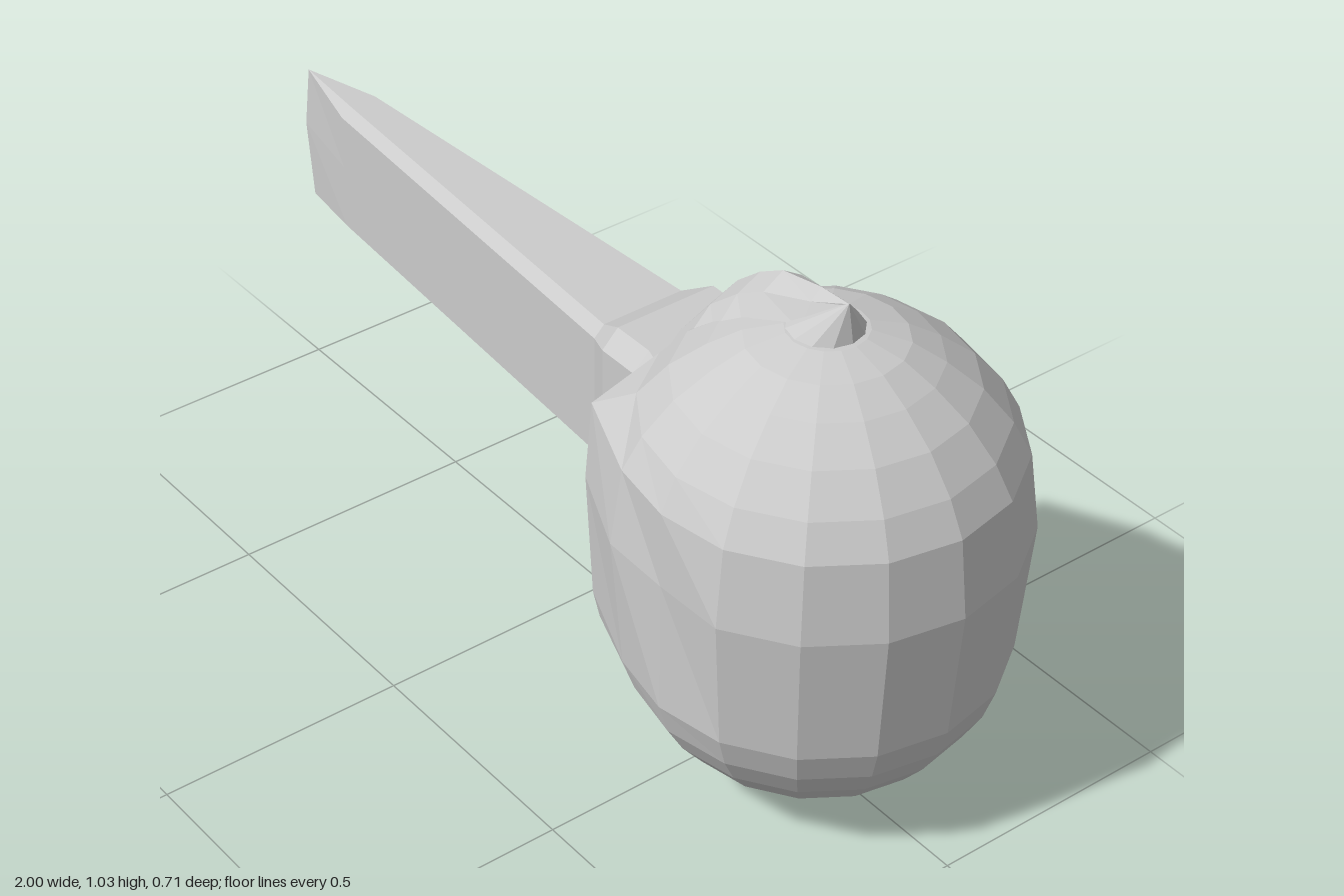
import * as THREE from 'three';

const material = new THREE.MeshStandardMaterial({ color: 0xcccccc, flatShading: true, side: THREE.DoubleSide });

function part(name, geometry) {
  const mesh = new THREE.Mesh(geometry, material);
  mesh.name = name;
  return mesh;
}

// Skin a row of cross-sections (arrays of [x, y, z]) running towards +x.
function loft(sections) {
  const n = sections[0].length;
  const index = [];
  for (let i = 0; i < sections.length - 1; i++) {
    for (let j = 0; j < n; j++) {
      const a = i * n + j, c = i * n + (j + 1) % n;
      index.push(a, a + n, c, a + n, c + n, c);
    }
  }
  const geometry = new THREE.BufferGeometry();
  geometry.setAttribute('position', new THREE.Float32BufferAttribute(sections.flat(2), 3));
  geometry.setIndex(index);
  geometry.computeVertexNormals();
  return geometry;
}

// Faceted egg-shaped head, slightly flattened at the sides and squared off towards the handle.
function makeHead() {
  const profile = [
    [0, 0.005], [0.075, 0.022], [0.145, 0.045], [0.2, 0.08], [0.255, 0.12], [0.3, 0.175],
    [0.335, 0.235], [0.357, 0.3], [0.38, 0.57], [0.36, 0.725], [0.325, 0.79],
    [0.27, 0.855], [0.205, 0.905], [0.145, 0.94], [0.075, 0.96], [0, 0.965],
  ].map(([r, y]) => new THREE.Vector2(r, y));
  const geometry = new THREE.LatheGeometry(profile, 16);
  const p = geometry.attributes.position;
  for (let i = 0; i < p.count; i++) {
    let x = p.getX(i);
    const y = p.getY(i);
    const z = THREE.MathUtils.clamp(p.getZ(i), -0.355, 0.355);
    if (x < -0.2 && Math.abs(z) > 0.2 && y > 0.2 && y < 0.75) x = -0.325;
    p.setXYZ(i, Math.max(x, -0.34), y, z);
  }
  geometry.computeVertexNormals();
  const mesh = part('head', geometry);
  mesh.position.x = 0.62;
  return mesh;
}

// Eight-sided handle section: front half-width, back edge, bulge of the back, top, bottom, chamfer.
function handleSection(x, front, back, bulge, top, bottom, chamfer) {
  const f = Math.max(front - chamfer, 0);
  return [
    [x, top - chamfer, front], [x, top, f], [x, top, -back], [x, 0.57, -bulge],
    [x, bottom, -back], [x, bottom, f], [x, bottom + chamfer, front], [x, 0.57, front],
  ];
}

// Blade-like handle ending in an upright edge, flaring into a collar at the head.
function makeHandle() {
  const end = handleSection(-1, 0, 0, 0, 0.705, 0.41, 0)
    .map(([, y]) => [y === 0.57 ? -1 : -0.98, y, 0]);
  return part('handle', loft([
    end,
    handleSection(-0.81, 0.035, 0.045, 0.11, 0.707, 0.412, 0.02),
    handleSection(0.1, 0.1, 0.1, 0.108, 0.71, 0.412, 0.022),
  ]));
}

function makeCollar() {
  return part('collar', loft([
    handleSection(0.1, 0.1, 0.1, 0.108, 0.71, 0.412, 0.022),
    handleSection(0.18, 0.143, 0.11, 0.143, 0.76, 0.36, 0.035),
    handleSection(0.27, 0.143, 0.11, 0.143, 0.76, 0.36, 0.035),
    handleSection(0.4, 0.2, 0.2, 0.2, 0.76, 0.3, 0.05),
  ]));
}

// Crest curving from the collar over the head to the tip: x, height, half-width, base height.
function makeCrest() {
  const rows = [
    [0.27, 0.75, 0.14, 0.67], [0.31, 0.84, 0.14, 0.74], [0.38, 0.925, 0.12, 0.84],
    [0.44, 0.975, 0.1, 0.89], [0.5, 1.01, 0.085, 0.92], [0.6, 1.03, 0.045, 0.96], [0.672, 1.035, 0, 1.03],
  ];
  return part('crest', loft(rows.map(([x, y, w, base]) => [
    [x, base, w], [x, y - (y - base) * 0.3, w * 0.5], [x, y, 0],
    [x, y - (y - base) * 0.3, -w * 0.5], [x, base, -w],
  ])));
}

// Small leaning cone at the top of the head.
function makeTip() {
  const geometry = new THREE.ConeGeometry(0.075, 0.08, 12, 1);
  const p = geometry.attributes.position;
  for (let i = 0; i < p.count; i++) {
    if (p.getY(i) > 0) p.setX(i, 0.06);
  }
  geometry.computeVertexNormals();
  const mesh = part('tip', geometry);
  mesh.position.set(0.612, 0.995, 0);
  return mesh;
}

export function createModel() {
  const model = new THREE.Group();
  model.name = 'model';
  model.add(makeHead(), makeHandle(), makeCollar(), makeCrest(), makeTip());
  return model;
}
